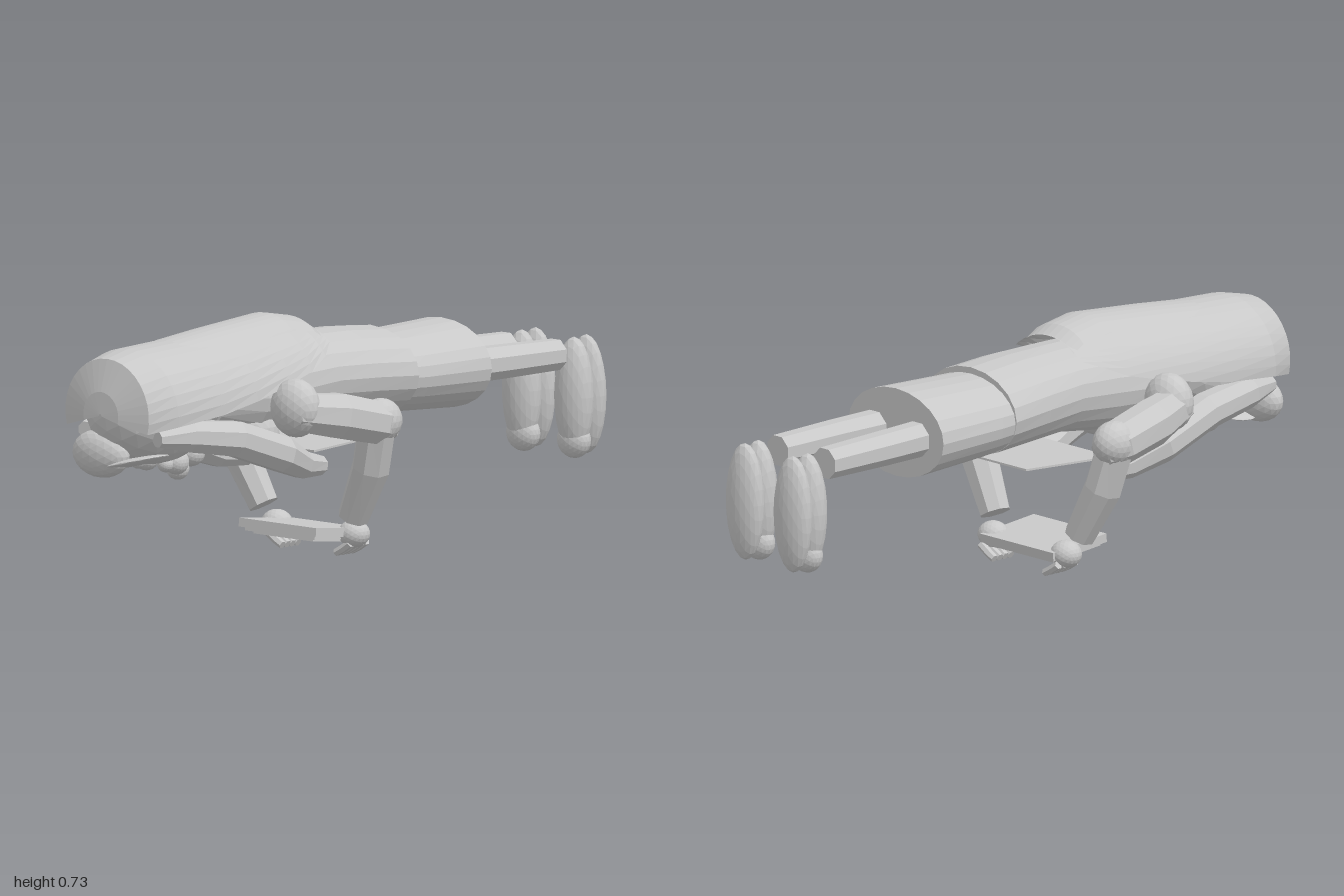
import * as THREE from 'three';

const grey = new THREE.MeshStandardMaterial({ color: 0xc8c8c8, flatShading: true, side: THREE.DoubleSide });
grey.name = 'plain grey';

// Skin a list of rings (arrays of Vector3) into one surface
function skin(rings, capped = false) {
  const pos = [], idx = [], n = rings[0].length;
  rings.forEach(r => r.forEach(p => pos.push(p.x, p.y, p.z)));
  for (let i = 0; i < rings.length - 1; i++) {
    for (let j = 0; j < n - 1; j++) {
      const a = i * n + j, b = a + n;
      idx.push(a, b, a + 1, b, b + 1, a + 1);
    }
  }
  if (capped) {
    [0, rings.length - 1].forEach((r, end) => {
      for (let j = 1; j < n - 2; j++) {
        const a = r * n;
        if (end) idx.push(a, a + j + 1, a + j);
        else idx.push(a, a + j, a + j + 1);
      }
    });
  }
  const g = new THREE.BufferGeometry();
  g.setAttribute('position', new THREE.Float32BufferAttribute(pos, 3));
  g.setIndex(idx);
  g.computeVertexNormals();
  return g;
}

// Elliptical sections along z, front to back: [z, centre y, rx, ry, start angle, end angle]
function body(sections, n = 20, capped = true) {
  return skin(sections.map(([z, cy, rx, ry, a0 = 0, a1 = Math.PI * 2]) =>
    Array.from({ length: n + 1 }, (_, j) => {
      const t = a1 + (a0 - a1) * j / n;
      return new THREE.Vector3(rx * Math.cos(t), cy + ry * Math.sin(t), z);
    })), capped);
}

// Tapered limb through points [x, y, z, radius]
function limb(points, n = 8) {
  const v = points.map(p => new THREE.Vector3(p[0], p[1], p[2]));
  const side = new THREE.Vector3(1, 0, 0);
  return skin(v.map((p, i) => {
    const dir = v[Math.min(i + 1, v.length - 1)].clone().sub(v[Math.max(i - 1, 0)]).normalize();
    const u = side.clone().addScaledVector(dir, -side.dot(dir)).normalize();
    const w = dir.clone().cross(u);
    return Array.from({ length: n + 1 }, (_, j) => {
      const t = (j + 0.5) / n * Math.PI * 2, r = points[i][3];
      return p.clone().addScaledVector(u, r * Math.cos(t)).addScaledVector(w, r * Math.sin(t));
    });
  }), true);
}

export function createModel() {
  const model = new THREE.Group();
  model.name = 'lyingFigure';
  const add = (name, geo) => {
    const m = new THREE.Mesh(geo, grey);
    m.name = name;
    model.add(m);
    return m;
  };
  const ball = (name, x, y, z, rx, ry = rx, rz = rx) => {
    const m = add(name, new THREE.IcosahedronGeometry(1, 3));
    m.position.set(x, y, z);
    m.scale.set(rx, ry, rz);
    return m;
  };

  // Head, torso and skirt
  ball('head', 0, 0.5, 0.79, 0.185, 0.165, 0.19);
  add('neck', limb([[0, 0.49, 0.7, 0.07], [0, 0.5, 0.5, 0.08]], 10));
  add('torso', body([
    [0.56, 0.51, 0.09, 0.09], [0.46, 0.51, 0.17, 0.13], [0.3, 0.52, 0.165, 0.14],
    [0.15, 0.53, 0.167, 0.13], [0, 0.525, 0.185, 0.132], [-0.15, 0.515, 0.195, 0.13]]));
  add('skirt', body([[-0.14, 0.508, 0.19, 0.118], [-0.2, 0.506, 0.194, 0.121], [-0.45, 0.503, 0.203, 0.132]], 24));

  // Long hair, open on the face side
  const P = Math.PI;
  add('hair', body([
    [1, 0.5, 0.005, 0.005, -0.27], [0.997, 0.5, 0.07, 0.07, -0.27], [0.97, 0.5, 0.168, 0.165, -0.27],
    [0.88, 0.5, 0.203, 0.185, -0.15], [0.7, 0.5, 0.213, 0.192, -0.05], [0.55, 0.5, 0.211, 0.195, 0.08],
    [0.4, 0.5, 0.208, 0.2, 0.25], [0.3, 0.5, 0.206, 0.202, 0.38], [0.22, 0.5, 0.204, 0.195, 0.6],
    [0.16, 0.5, 0.2, 0.185, 0.8]].map(s => [...s, P - s[4]]), 20, false));
  add('hairBackPanel', body([
    [0.72, 0.605, 0.13, 0.088], [0.55, 0.62, 0.13, 0.09], [0.3, 0.64, 0.13, 0.09],
    [0.2, 0.622, 0.13, 0.09], [0.16, 0.6, 0.13, 0.088]].map(s => [...s, 0.6, P - 0.6]), 10, false));

  // Swept forelock with a thin fringe
  ball('forelock', -0.062, 0.375, 0.93, 0.105, 0.071, 0.052);
  const fringe = ball('fringe', 0.02, 0.352, 0.88, 0.12, 0.012, 0.09);
  fringe.rotation.z = 0.25;

  // Face
  ball('nose', 0, 0.31, 0.67, 0.034);
  ball('chin', 0, 0.35, 0.62, 0.05, 0.04, 0.04);

  // Apron
  const apron = add('apron', new THREE.BoxGeometry(0.32, 0.006, 0.34));
  apron.position.set(0, 0.342, 0.09);
  apron.rotation.x = 0.06;

  // Tray held between the hands
  const tray = new THREE.Group();
  tray.name = 'tray';
  [[0.31, 0.026, 0.215, 0], [0.28, 0.01, 0.19, -0.018], [0.24, 0.008, 0.16, -0.026]].forEach(([w, h, d, y]) => {
    const m = new THREE.Mesh(new THREE.BoxGeometry(w, h, d), grey);
    m.name = 'trayLayer';
    m.position.y = y;
    tray.add(m);
  });
  tray.position.set(0, 0.079, 0.14);
  tray.rotation.x = -0.1;
  model.add(tray);

  // Mirrored parts
  for (const s of [1, -1]) {
    const side = s > 0 ? 'left' : 'right';
    add(side + 'SideLock', limb([
      [s * 0.145, 0.435, 0.91, 0.025], [s * 0.165, 0.435, 0.8, 0.05], [s * 0.18, 0.41, 0.62, 0.056],
      [s * 0.19, 0.345, 0.43, 0.056], [s * 0.165, 0.3, 0.32, 0.043], [s * 0.145, 0.285, 0.22, 0.03]]));
    ball(side + 'Chest', s * 0.08, 0.4, 0.43, 0.075);
    ball(side + 'Cheek', s * 0.06, 0.343, 0.74, 0.038);
    ball(side + 'Eye', s * 0.055, 0.34, 0.78, 0.025);

    // Arm
    ball(side + 'Shoulder', s * 0.237, 0.485, 0.42, 0.083, 0.087, 0.063);
    add(side + 'UpperArm', limb([
      [s * 0.25, 0.475, 0.44, 0.058], [s * 0.295, 0.455, 0.3, 0.071], [s * 0.305, 0.42, 0.15, 0.068],
      [s * 0.3, 0.395, 0.09, 0.042]]));
    ball(side + 'Elbow', s * 0.308, 0.425, 0.135, 0.06, 0.066, 0.07);
    add(side + 'Forearm', limb([
      [s * 0.305, 0.42, 0.145, 0.058], [s * 0.265, 0.28, 0.13, 0.058], [s * 0.18, 0.125, 0.115, 0.047]]));
    ball(side + 'Hand', s * 0.155, 0.07, 0.085, 0.049, 0.041, 0.045);
    for (let k = 0; k < 4; k++) {
      const z = 0.045 + k * 0.022;
      add(side + 'Finger', limb([[s * 0.165, 0.045, z, 0.013], [s * 0.135, 0.026, z, 0.013], [s * 0.108, 0.012, z, 0.012]], 6));
    }

    // Leg and shoe
    add(side + 'Leg', limb([
      [s * 0.09, 0.5, -0.42, 0.054], [s * 0.097, 0.498, -0.6, 0.052], [s * 0.1, 0.495, -0.83, 0.048]]));
    ball(side + 'Shoe', s * 0.105, 0.365, -0.902, 0.065, 0.175, 0.05);
    ball(side + 'Sole', s * 0.102, 0.365, -0.958, 0.07, 0.176, 0.042);
    ball(side + 'Toe', s * 0.102, 0.235, -0.905, 0.058, 0.054, 0.04);
  }
  return model;
}
